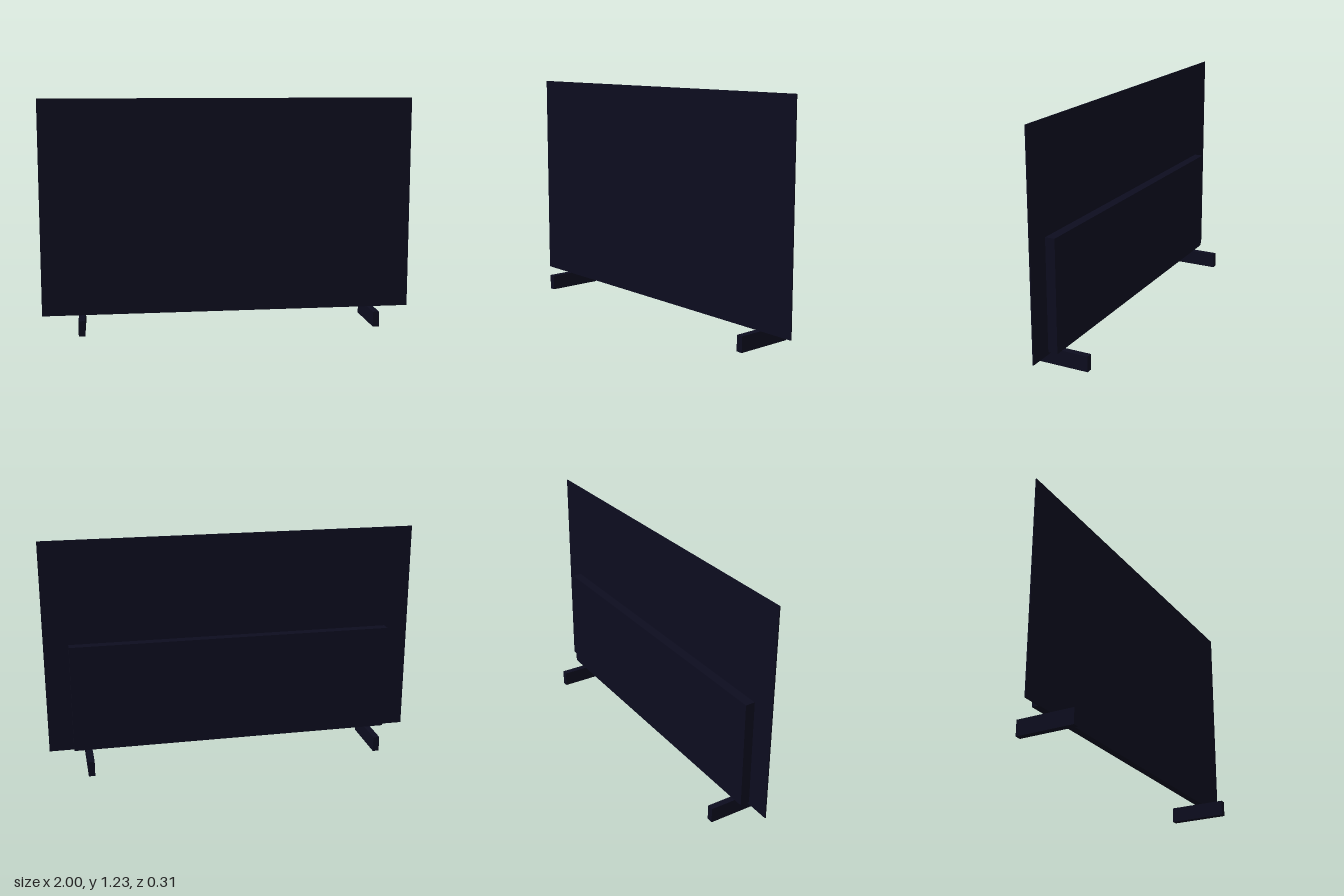
import * as THREE from 'three';

export function createModel() {
  const model = new THREE.Group();
  const darkNavy = new THREE.MeshStandardMaterial({ color: 0x0c0c1e });
  darkNavy.name = 'darkNavy';

  // Box given by its lower and upper corners
  function addBox(name, [x0, y0, z0], [x1, y1, z1]) {
    const mesh = new THREE.Mesh(new THREE.BoxGeometry(x1 - x0, y1 - y0, z1 - z0), darkNavy);
    mesh.position.set((x0 + x1) / 2, (y0 + y1) / 2, (z0 + z1) / 2);
    mesh.name = name;
    model.add(mesh);
  }

  // Thin screen
  addBox('screenPanel', [-1, 0.082, 0.023], [1, 1.232, 0.029]);

  // Thicker housing on the lower back
  addBox('rearHousing', [-0.87, 0.095, -0.028], [0.87, 0.677, 0.023]);

  // Two feet running front to back
  addBox('leftFoot', [0.772, 0, -0.156], [0.806, 0.082, 0.156]);
  addBox('rightFoot', [-0.806, 0, -0.156], [-0.772, 0.082, 0.156]);

  return model;
}
